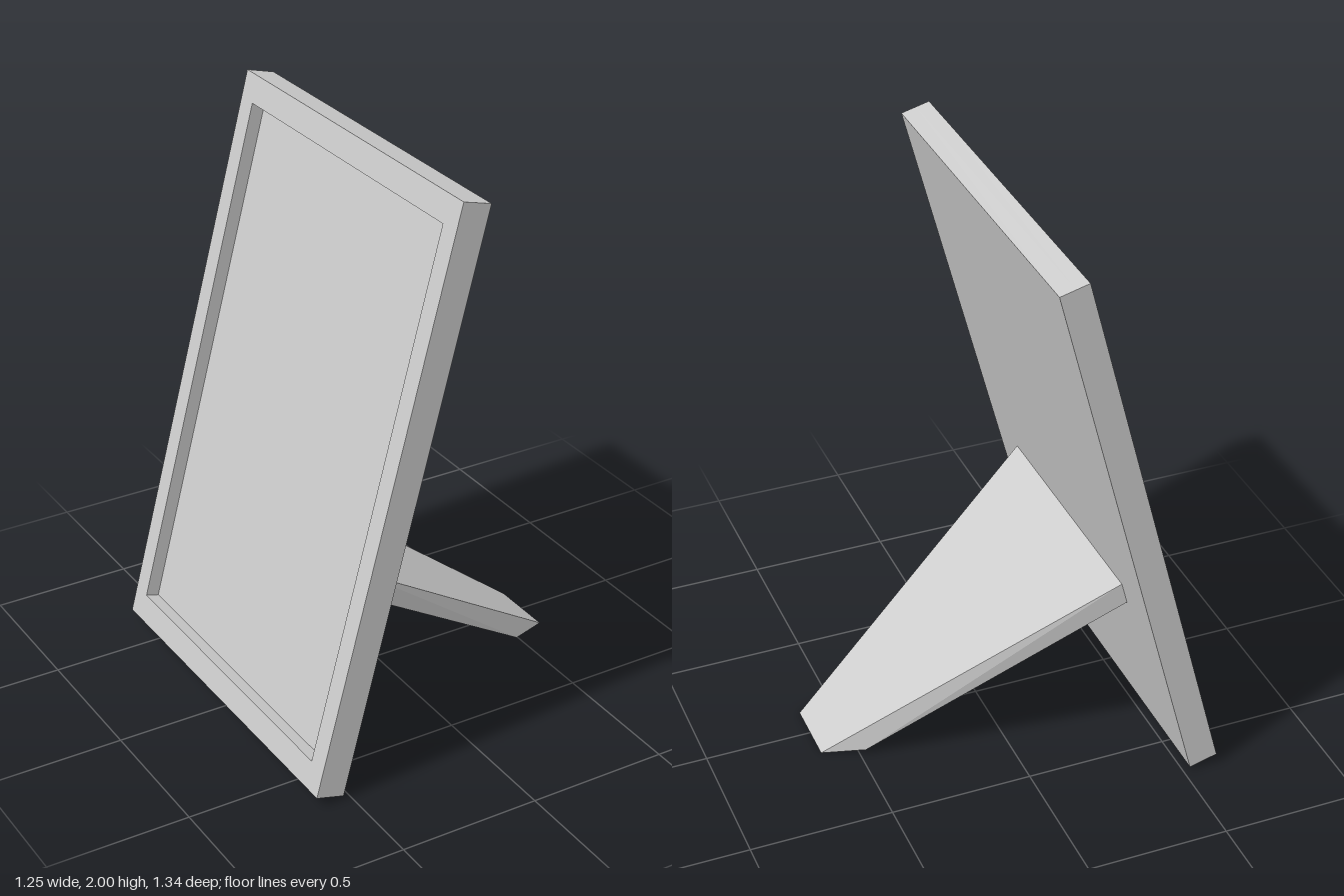
import * as THREE from 'three';
import { ConvexGeometry } from 'three/addons/geometries/ConvexGeometry.js';

const material = new THREE.MeshStandardMaterial({ color: 0xcccccc, flatShading: true });

const W = 1.34, H = 2.032, THICK = 0.103; // panel size
const RECESS = 0.048, SIDE = 0.075, END = 0.095; // recess depth and borders

function addMesh(parent, geometry, name) {
  const mesh = new THREE.Mesh(geometry, material);
  mesh.name = name;
  parent.add(mesh);
}

function rectangle(path, x0, y0, x1, y1) {
  path.moveTo(x0, y0);
  path.lineTo(x1, y0);
  path.lineTo(x1, y1);
  path.lineTo(x0, y1);
  path.closePath();
  return path;
}

export function createModel() {
  const model = new THREE.Group();
  model.name = 'pictureFrame';

  // Leaning panel, pivoted on the lower edge of its rear face
  const panel = new THREE.Group();
  panel.name = 'panel';
  panel.position.set(-0.525, 0.011, 0);
  panel.rotation.z = -THREE.MathUtils.degToRad(15);
  model.add(panel);

  // Backing board
  const backDepth = THICK - RECESS;
  const back = new THREE.BoxGeometry(backDepth, H, W);
  back.translate(-backDepth / 2, H / 2, 0);
  addMesh(panel, back, 'backBoard');

  // Raised border around the picture recess, facing -x
  const outline = rectangle(new THREE.Shape(), -W / 2, 0, W / 2, H);
  outline.holes.push(rectangle(new THREE.Path(), -W / 2 + SIDE, END, W / 2 - SIDE, H - END));
  const border = new THREE.ExtrudeGeometry(outline, { depth: RECESS, bevelEnabled: false });
  border.rotateY(-Math.PI / 2);
  border.translate(-backDepth, 0, 0);
  addMesh(panel, border, 'border');

  // Tapered support leg: side profile with a half width at each corner
  const profile = [
    [-0.343, 0.69, 0.455],
    [-0.365, 0.61, 0.455],
    [0.48, 0.018, 0.18],
    [0.623, 0, 0.118],
  ];
  const corners = profile.flatMap(([x, y, z]) => [
    new THREE.Vector3(x, y, z),
    new THREE.Vector3(x, y, -z),
  ]);
  addMesh(model, new ConvexGeometry(corners), 'supportLeg');

  return model;
}
